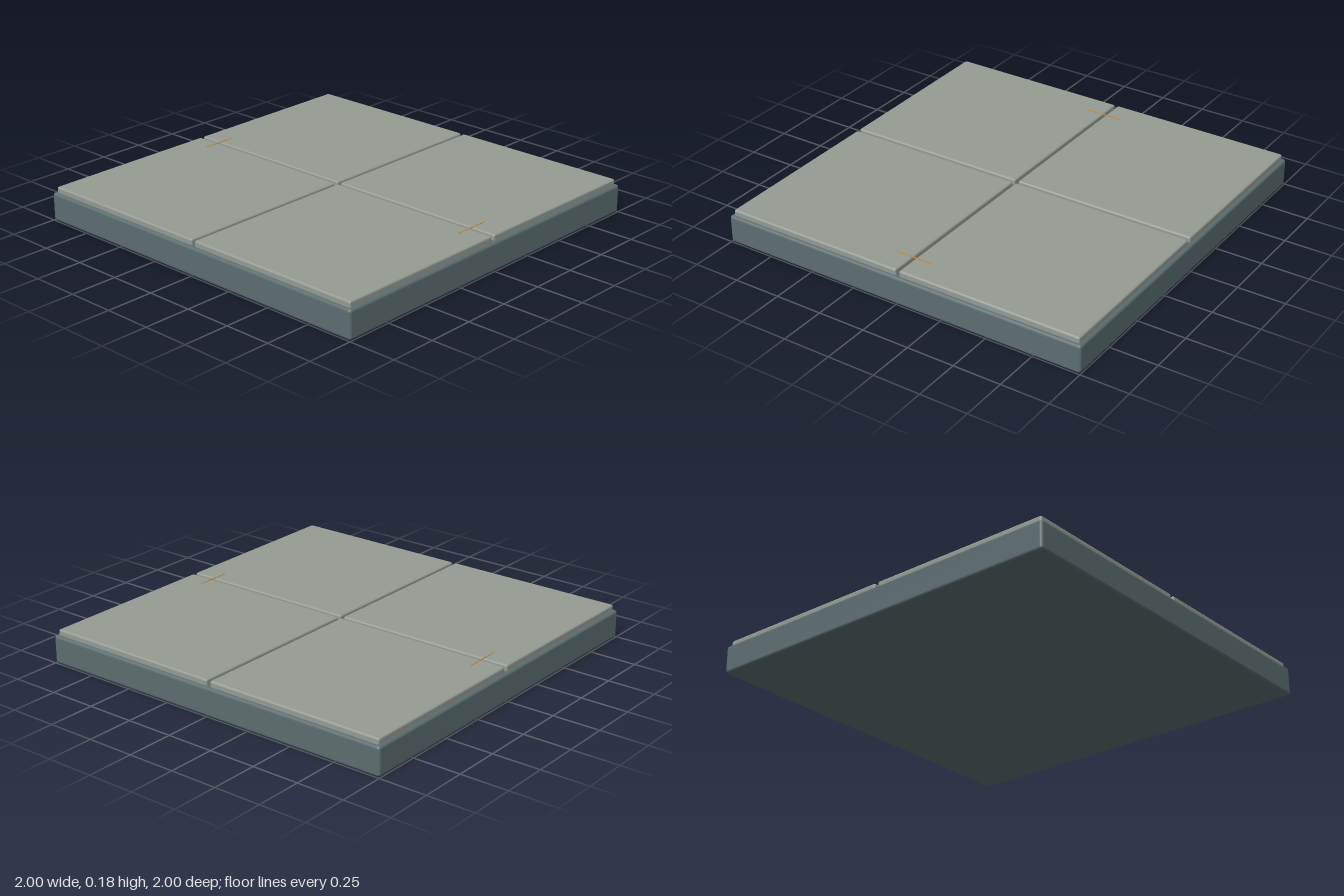
import * as THREE from 'three';
import { RoundedBoxGeometry } from 'three/addons/geometries/RoundedBoxGeometry.js';

export function createModel() {
  const group = new THREE.Group();
  const material = (color) => new THREE.MeshStandardMaterial({ color });
  const baseMat = material(0x5c6e70);
  const tileMat = material(0x969b94);
  const stripMat = material(0xc08a3e);

  const add = (name, geometry, mat, x, y, z) => {
    const mesh = new THREE.Mesh(geometry, mat);
    mesh.name = name;
    mesh.position.set(x, y, z);
    group.add(mesh);
  };

  // Slab with softened edges
  add('baseSlab', new RoundedBoxGeometry(2, 0.148, 2, 2, 0.015), baseMat, 0, 0.074, 0);

  // Four paving tiles, seated slightly into the slab, with narrow joints
  const tileGeo = new RoundedBoxGeometry(0.974, 0.05, 0.974, 2, 0.01);
  for (const [row, z] of [['back', -0.496], ['front', 0.496]]) {
    for (const [side, x] of [['Right', -0.496], ['Left', 0.496]]) {
      add(`${row}${side}Tile`, tileGeo, tileMat, x, 0.153, z);
    }
  }

  // Thin inlay strips crossing the middle joint
  const stripGeo = new THREE.BoxGeometry(0.006, 0.003, 0.19);
  add('rightInlayStrip', stripGeo, stripMat, -0.85, 0.1785, 0);
  add('leftInlayStrip', stripGeo, stripMat, 0.85, 0.1785, 0);

  return group;
}
